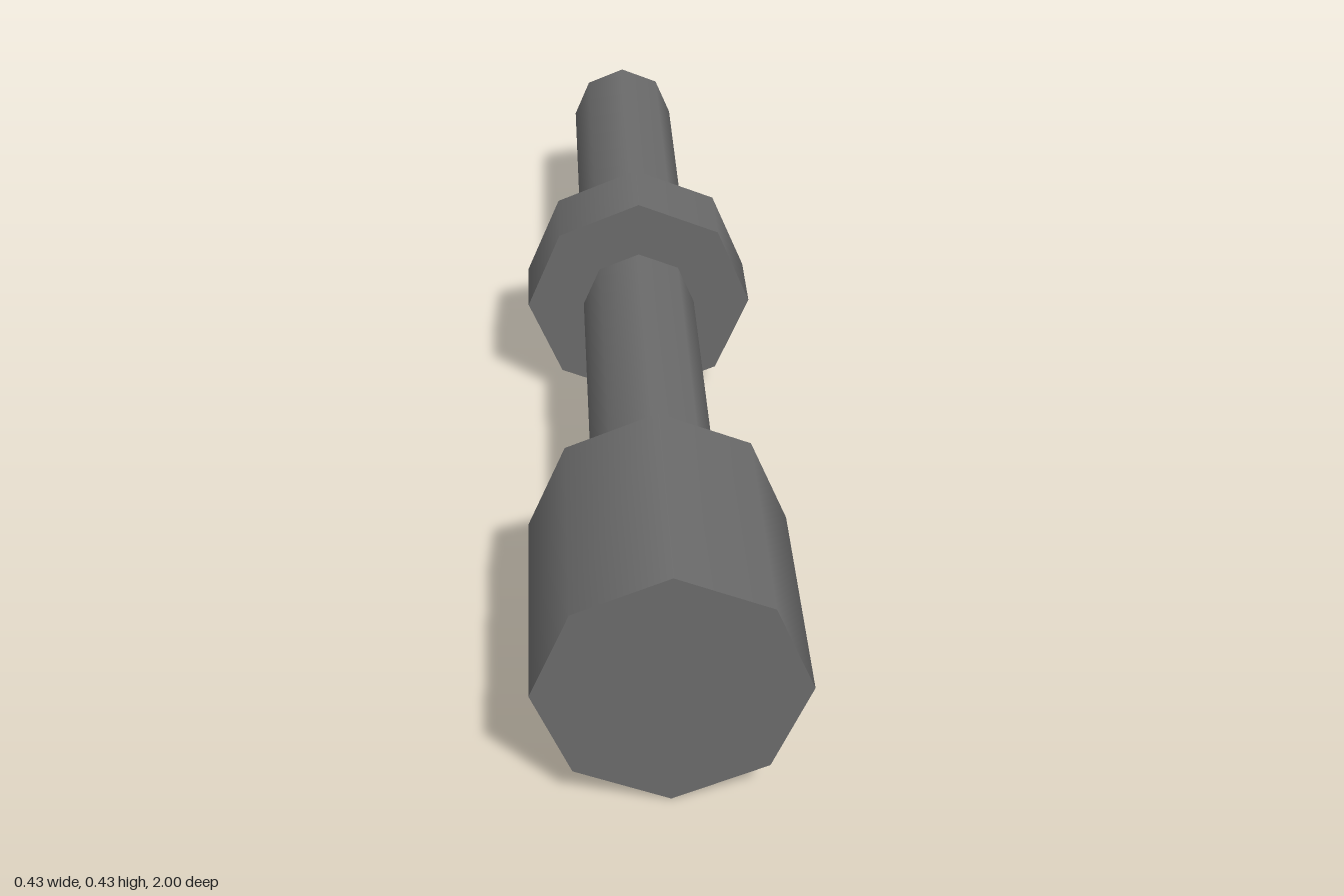
import * as THREE from 'three';

const SIDES = 8;
const AXIS_Y = 0.2143; // height of the common axis

export function createModel() {
  const model = new THREE.Group();
  model.name = 'collaredRod';

  const darkGrey = new THREE.MeshStandardMaterial({ color: 0x6b6b6b });
  darkGrey.name = 'dark grey';

  // Smooth-sided octagonal cylinder lying along z, from zBack to zFront
  function addCylinder(name, radius, zBack, zFront) {
    const geometry = new THREE.CylinderGeometry(radius, radius, zFront - zBack, SIDES);
    geometry.rotateX(Math.PI / 2);
    const mesh = new THREE.Mesh(geometry, darkGrey);
    mesh.name = name;
    mesh.position.set(0, AXIS_Y, (zBack + zFront) / 2);
    model.add(mesh);
  }

  addCylinder('shaft', 0.1071, -1, 0.5714);
  addCylinder('collar', 0.2143, -0.2857, -0.1429);
  addCylinder('head', 0.2143, 0.5714, 1);

  return model;
}
